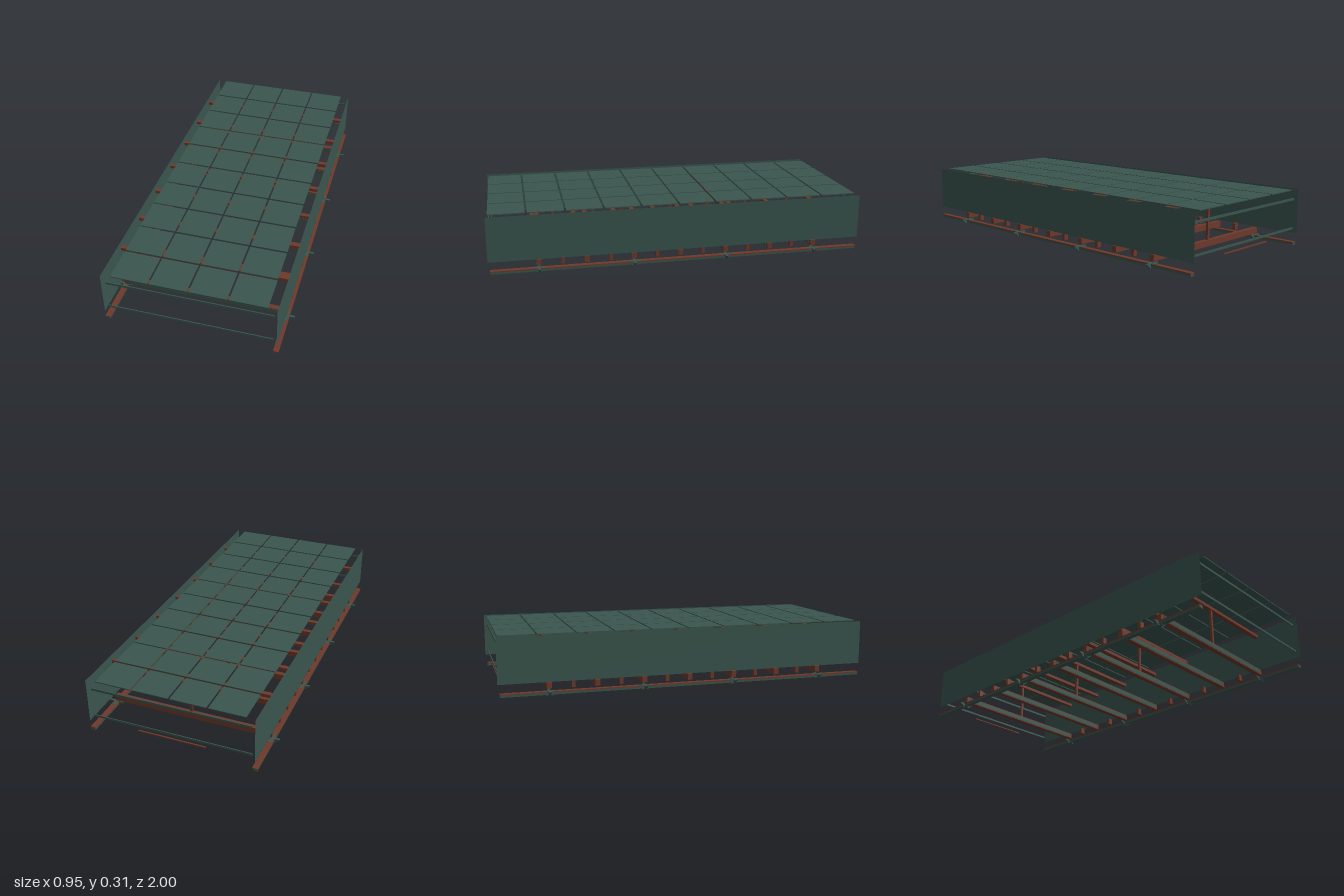
import * as THREE from 'three';

export function createModel() {
  const model = new THREE.Group();
  const teal = new THREE.MeshStandardMaterial({ color: 0x3a554e, side: THREE.DoubleSide });
  teal.name = 'teal paint';
  const rust = new THREE.MeshStandardMaterial({ color: 0x6e392b });
  rust.name = 'rust red steel';

  const add = (name, geometry, material, x, y, z) => {
    const mesh = new THREE.Mesh(geometry, material);
    mesh.name = name;
    mesh.position.set(x, y, z);
    model.add(mesh);
    return mesh;
  };
  const box = (name, material, w, h, d, x, y, z) =>
    add(name, new THREE.BoxGeometry(w, h, d), material, x, y, z);

  // Deck: four columns and ten rows of thin plates
  for (let col = 0; col < 4; col++) {
    for (let row = 0; row < 10; row++) {
      box('deckPlate', teal, 0.188, 0.005, 0.188,
        (col - 1.5) * 0.198, 0.308, (row - 4.5) * 0.199);
    }
  }

  // Cross beams; the lower ones carry a painted web on the front face
  for (let i = -3; i <= 3; i++) {
    const z = i * 0.248;
    box('upperBeam', rust, 0.87, 0.017, 0.024, 0, 0.276, z);
    box('lowerBeam', rust, 0.87, 0.032, 0.026, 0, 0.052, z);
    box('beamWeb', teal, 0.824, 0.022, 0.002, 0, 0.051, z + 0.014);
    // Centre posts stand on every other beam
    if (i % 2 !== 0) box('centrePost', rust, 0.013, 0.2, 0.013, 0, 0.168, z);
  }

  // Thin crossbars at both ends
  for (const end of [-1, 1]) {
    box('upperEndBar', teal, 0.84, 0.012, 0.005, 0, 0.257, end * 0.985);
    box('lowerEndBar', teal, 0.84, 0.011, 0.005, 0, 0.1, end * 0.985);
  }
  box('backStep', rust, 0.36, 0.006, 0.008, 0, 0.066, -0.978);

  // Tapered bracket outline, wide at the top
  const bracketGeometry = (halfWidth, depth) => {
    const s = new THREE.Shape();
    s.moveTo(-halfWidth, 0.026);
    s.lineTo(-halfWidth * 0.9, 0.018);
    s.lineTo(-halfWidth * 0.65, 0.015);
    s.lineTo(-halfWidth * 0.45, 0.003);
    s.lineTo(halfWidth * 0.45, 0.003);
    s.lineTo(halfWidth * 0.65, 0.015);
    s.lineTo(halfWidth * 0.9, 0.018);
    s.lineTo(halfWidth, 0.026);
    const g = new THREE.ExtrudeGeometry(s, { depth, bevelEnabled: false });
    return g.translate(0, 0, -depth / 2);
  };
  const acrossGeometry = bracketGeometry(0.04, 0.012);
  const alongGeometry = bracketGeometry(0.038, 0.016).rotateY(Math.PI / 2);

  for (const side of [-1, 1]) {
    // Side wall
    const wall = add('sideWall', new THREE.PlaneGeometry(2, 0.238), teal, side * 0.439, 0.191, 0);
    wall.rotation.y = side * Math.PI / 2;

    // Ground rail with a rust red cap
    box('groundRail', teal, 0.024, 0.011, 1.98, side * 0.434, 0.0135, 0);
    box('railCap', rust, 0.028, 0.006, 1.98, side * 0.434, 0.022, 0);

    // Short stubs between the beams
    for (let i = -2.5; i <= 2.5; i++) {
      box('sideStub', rust, 0.025, 0.036, 0.018, side * 0.423, 0.056, i * 0.248);
    }

    // Crossed support brackets
    for (const i of [-3, -1, 1, 3]) {
      add('bracketAcross', acrossGeometry, teal, side * 0.434, 0, i * 0.248);
      add('bracketAlong', alongGeometry, teal, side * 0.434, 0, i * 0.248);
    }
  }

  return model;
}
